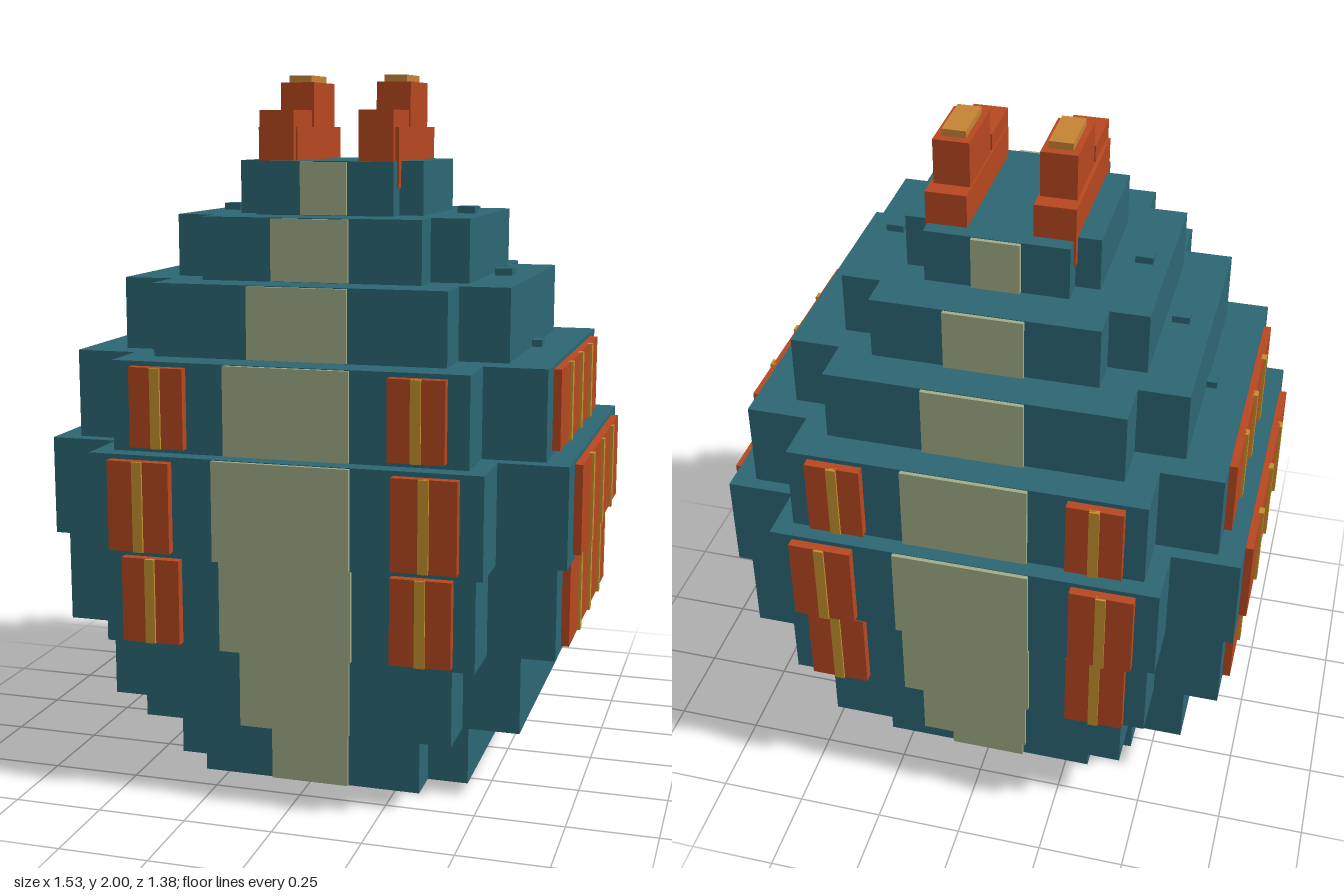
import * as THREE from 'three';

const mat = (name, color) => {
  const m = new THREE.MeshStandardMaterial({ color });
  m.name = name;
  return m;
};

export function createModel() {
  const teal = mat('teal', 0x2d6875);
  const cream = mat('cream', 0xa3ae88);
  const red = mat('rust red', 0xb84820);
  const amber = mat('amber', 0xc4922c);
  const gold = mat('gold', 0xc88535);
  const root = new THREE.Group();

  // Box given by its ranges on each axis
  const box = (name, material, [x0, x1], [y0, y1], [z0, z1]) => {
    const m = new THREE.Mesh(new THREE.BoxGeometry(x1 - x0, y1 - y0, z1 - z0), material);
    m.position.set((x0 + x1) / 2, (y0 + y1) / 2, (z0 + z1) / 2);
    m.name = name;
    root.add(m);
  };
  const sym = (h) => [-h, h];
  const around = (c, h) => [c - h, c + h];
  const flip = (s, [a, b]) => (s > 0 ? [a, b] : [-b, -a]);

  // Stacked tiers: bottom, top, outer x, inner x, outer z, inner z, stripe half width
  const tiers = [
    [0, 0.207, 0.437, 0.32, 0.397, 0.29, 0.113],
    [0.207, 0.447, 0.602, 0.442, 0.54, 0.395, 0.157],
    [0.447, 0.707, 0.706, 0.52, 0.62, 0.46, 0.185],
    [0.707, 0.985, 0.735, 0.545, 0.655, 0.485, 0.19],
    [0.985, 1.233, 0.668, 0.495, 0.603, 0.445, 0.174],
    [1.233, 1.435, 0.552, 0.412, 0.505, 0.37, 0.14],
    [1.435, 1.61, 0.422, 0.313, 0.386, 0.286, 0.11],
    [1.61, 1.76, 0.268, 0.199, 0.253, 0.187, 0.067],
  ];
  for (const [y0, y1, xo, xi, zo, zi, w] of tiers) {
    box('bodyTierWide', teal, sym(xo), [y0, y1], sym(zi));
    box('bodyTierDeep', teal, sym(xi), [y0, y1], sym(zo));
    for (const s of [1, -1])
      box('centreStripe', cream, sym(w), [y0 + 0.002, y1 - 0.002], flip(s, [zo - 0.008, zo + 0.012]));
  }

  // Panels: tier, bottom, top, side half length, side bar spacing, front centre, front half width
  const panels = [
    [2, 0.46, 0.696, 0.365, 0.196, 0.378, 0.083],
    [3, 0.724, 0.972, 0.385, 0.211, 0.394, 0.088],
    [4, 1.0, 1.22, 0.354, 0.19, 0.359, 0.077],
  ];
  for (const [t, y0, y1, len, gap, cx, hw] of panels) {
    const xo = tiers[t][2], zo = tiers[t][4], y = [y0, y1];
    for (const s of [1, -1]) {
      box('sidePanel', red, flip(s, [xo - 0.01, xo + 0.022]), y, sym(len));
      for (const k of [-1, 0, 1])
        box('sidePanelBar', amber, flip(s, [xo + 0.015, xo + 0.03]), y, around(k * gap, 0.013));
      for (const f of [1, -1]) {
        box('facePanel', red, around(s * cx, hw), y, flip(f, [zo - 0.01, zo + 0.027]));
        box('facePanelBar', amber, around(s * cx, 0.014), y, flip(f, [zo + 0.02, zo + 0.034]));
      }
    }
  }

  // Small studs on the upper steps, and the paired crown pieces
  for (const s of [1, -1]) {
    for (const [x, y] of [[0.355, 1.61], [0.466, 1.435], [0.556, 1.233]])
      box('stepStud', teal, around(s * x, 0.025), [y - 0.01, y + 0.02], sym(0.025));
    box('crownBase', red, flip(s, [0.09, 0.204]), [1.685, 1.853], [-0.21, 0.214]);
    box('crownFrontBlock', red, flip(s, [0.094, 0.194]), [1.755, 1.9], [0.062, 0.235]);
    box('crownPost', red, flip(s, [0.094, 0.194]), [1.75, 1.98], [-0.16, 0.044]);
    box('crownCap', gold, flip(s, [0.11, 0.176]), [1.975, 2.0], [-0.135, 0.018]);
  }
  return root;
}
